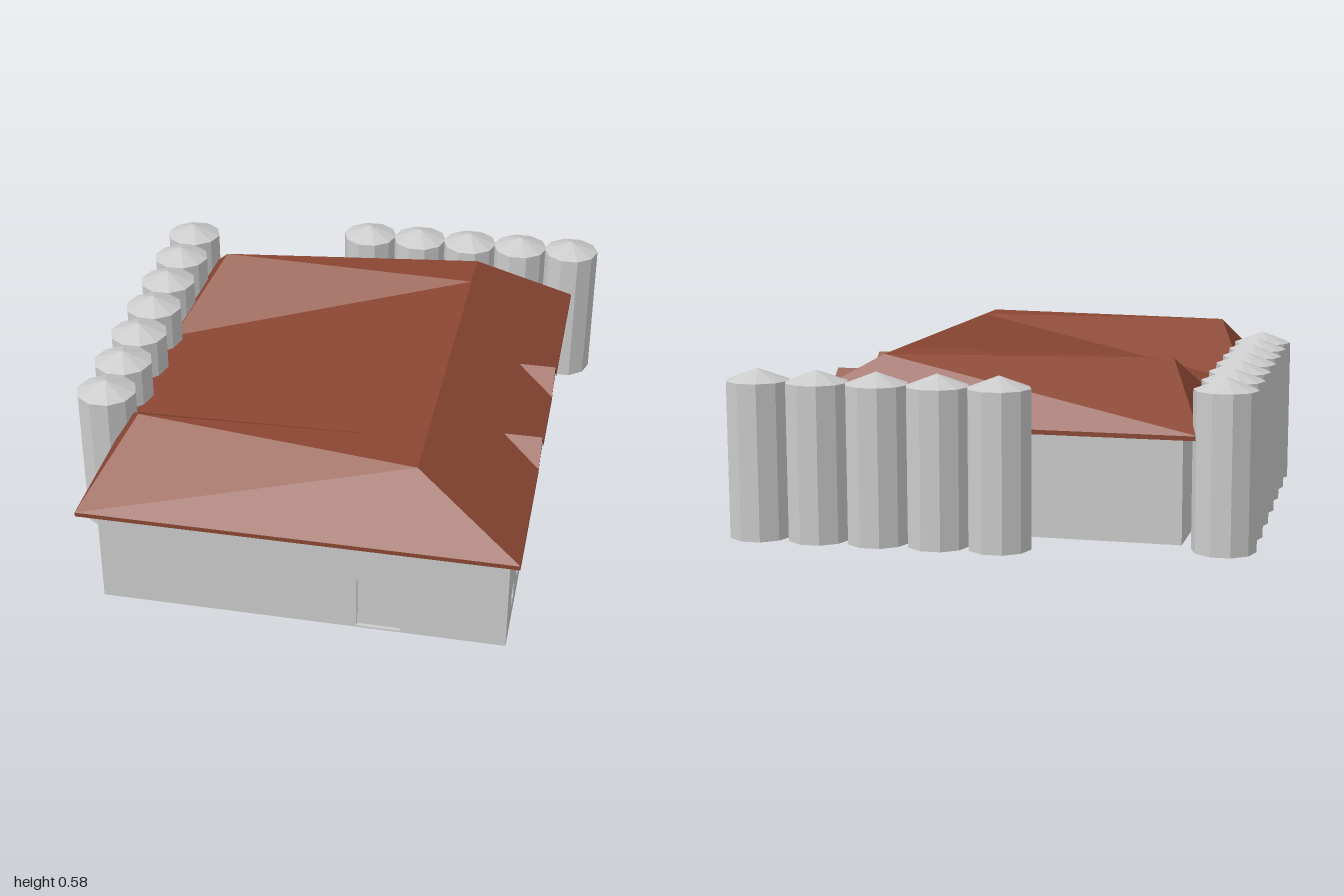
import * as THREE from 'three';

const grey = new THREE.MeshStandardMaterial({ color: 0xcccccc, side: THREE.DoubleSide, flatShading: true });
const tile = new THREE.MeshStandardMaterial({ color: 0x8a4632, side: THREE.DoubleSide, flatShading: true });

const EAVE = 0.375, RIDGE = 0.58, BASE = 0.01;
const HX = 0.73, HZ = 0.9;            // half size of the roof at the eaves
const RX = 0.37, RZ = 0.72;           // ends of the main ridge
const DORMERS = [0.27, -0.2], DW = 0.085, DY = 0.45;

function add(parent, name, geometry, material) {
  const mesh = new THREE.Mesh(geometry, material);
  mesh.name = name;
  parent.add(mesh);
  return mesh;
}

// Each face is a list of corners, counter-clockwise from outside
function facets(faces) {
  const pos = [];
  for (const f of faces)
    for (let i = 1; i < f.length - 1; i++) pos.push(...f[0], ...f[i], ...f[i + 1]);
  const g = new THREE.BufferGeometry();
  g.setAttribute('position', new THREE.Float32BufferAttribute(pos, 3));
  g.computeVertexNormals();
  return g;
}

// Wall panel with openings [u, y, width, height] and optional small gables
function makeWall(name, length, openings, gables = []) {
  const wall = new THREE.Group();
  wall.name = name;
  const h = length / 2, top = 0.372, t = 0.015;
  const s = new THREE.Shape();
  s.moveTo(-h, BASE).lineTo(h, BASE).lineTo(h, top);
  for (const u of [...gables].sort((a, b) => b - a))
    s.lineTo(u + DW - 0.005, top).lineTo(u, DY - 0.008).lineTo(u - DW + 0.005, top);
  s.lineTo(-h, top);
  for (const [u, y, w, ht] of openings) {
    const p = new THREE.Path();
    p.moveTo(u - w / 2, y - ht / 2).lineTo(u - w / 2, y + ht / 2)
      .lineTo(u + w / 2, y + ht / 2).lineTo(u + w / 2, y - ht / 2).closePath();
    s.holes.push(p);
    const pane = add(wall, w > 0.1 ? 'door' : 'windowPane', new THREE.PlaneGeometry(w, ht), grey);
    pane.position.set(u, y, 0.001);
  }
  const panel = new THREE.ExtrudeGeometry(s, { depth: t, bevelEnabled: false });
  add(wall, 'wallPanel', panel, grey);
  return wall;
}

function makeWalls() {
  const walls = new THREE.Group();
  walls.name = 'walls';
  const hx = 0.6825, hz = 0.855, t = 0.015, W = 0.065;
  const lower = [0.695, 0.54, 0.29, -0.23, -0.46, -0.705];
  const upper = [0.695, 0.53, 0.29, 0.035, -0.23, -0.705];
  const windows = [...lower.map(z => [-z, 0.108, W, W]), ...upper.map(z => [-z, 0.275, W, W])];
  const place = (wall, x, z, turn) => {
    wall.position.set(x, 0, z);
    wall.rotation.y = turn;
    walls.add(wall);
  };
  place(makeWall('frontWall', 2 * hx, [[0.26, 0.11, 0.145, 0.188]]), 0, hz - t, 0);
  place(makeWall('backWall', 2 * hx, []), 0, t - hz, Math.PI);
  place(makeWall('leftWall', 2 * hz, windows, DORMERS.map(z => -z)), hx - t, 0, Math.PI / 2);
  place(makeWall('rightWall', 2 * hz, [[0.7, 0.11, 0.145, 0.188]]), t - hx, 0, -Math.PI / 2);
  walls.position.x = 0.0125;
  return walls;
}

function makeRoof() {
  const roof = new THREE.Group();
  roof.name = 'roof';

  // Hipped wings, mirrored front to back
  const wing = [];
  for (const m of [1, -1]) {
    const corner = [-HX, EAVE, m * HZ], far = [HX, EAVE, m * HZ];
    const hip = [-0.595, RIDGE, m * 0.59], apex = [RX, RIDGE, m * RZ];
    const base = [-HX, EAVE, m * 0.275], valley = [RX, RIDGE, m * 0.55];
    const faces = [
      [corner, far, apex], [corner, apex, hip],   // outer slope
      [corner, hip, base],                        // hip end
      [hip, apex, valley], [hip, valley, base],   // inner slope
    ];
    wing.push(...faces.map(f => (m > 0 ? f : [...f].reverse())));
  }
  // Slope between the wings
  wing.push([[-HX, EAVE, -0.275], [-HX, EAVE, 0.275], [RX, RIDGE, 0.55], [RX, RIDGE, -0.55]]);
  add(roof, 'wingSlopes', facets(wing), tile);

  // Long slope with notches for the dormers: drawn as (-z, t), then laid on the pitch
  const notch = (DY - EAVE) / (RIDGE - EAVE);
  const s = new THREE.Shape();
  s.moveTo(-HZ, 0);
  for (const z of DORMERS) s.lineTo(-z - DW, 0).lineTo(-z, notch).lineTo(-z + DW, 0);
  s.lineTo(HZ, 0).lineTo(RZ, 1).lineTo(-RZ, 1);
  const slope = new THREE.ShapeGeometry(s);
  const p = slope.attributes.position;
  for (let i = 0; i < p.count; i++) {
    const u = p.getX(i), t = p.getY(i);
    p.setXYZ(i, HX - (HX - RX) * t, EAVE + (RIDGE - EAVE) * t, -u);
  }
  slope.computeVertexNormals();
  add(roof, 'longSlope', slope, tile);

  // Dormer roofs
  const nx = HX - (HX - RX) * notch;
  for (const z of DORMERS) {
    const f = [HX, DY, z], n = [nx, DY, z];
    add(roof, 'dormerRoof', facets([
      [f, n, [HX, EAVE, z + DW]],
      [n, f, [HX, EAVE, z - DW]],
    ]), tile);
  }

  // Fascia following the eaves and the dormer gables
  const line = [[-HX, EAVE, -HZ], [-HX, EAVE, HZ], [HX, EAVE, HZ]];
  for (const z of DORMERS) line.push([HX, EAVE, z + DW], [HX, DY, z], [HX, EAVE, z - DW]);
  line.push([HX, EAVE, -HZ], line[0]);
  const drop = ([x, y, z]) => [x, y - 0.015, z];
  const strips = line.slice(1).map((b, i) => [line[i], drop(line[i]), drop(b), b]);
  add(roof, 'fascia', facets(strips), tile);
  return roof;
}

// Ten-sided tank with a low conical cap
function makeSilo(x, z) {
  const silo = new THREE.Group();
  silo.name = 'silo';
  const r = 0.105;
  add(silo, 'siloBody', new THREE.CylinderGeometry(r, r, 0.52, 10, 1, true), grey).position.y = 0.26;
  add(silo, 'siloCap', new THREE.ConeGeometry(r, 0.04, 10, 1, true), grey).position.y = 0.54;
  silo.position.set(x, 0, z);
  silo.rotation.y = Math.PI / 2;
  return silo;
}

export function createModel() {
  const model = new THREE.Group();
  model.name = 'farmBuilding';

  // The house stands slightly turned against the tanks
  const house = new THREE.Group();
  house.name = 'house';
  house.add(makeWalls(), makeRoof());
  house.position.set(0.0275, 0, 0.085);
  house.rotation.y = -0.02;
  model.add(house);

  for (let i = 0; i < 7; i++) model.add(makeSilo(-0.76, -0.78 + i * 0.204));
  for (let i = 0; i < 5; i++) model.add(makeSilo(-0.053 + i * 0.203, -0.9));
  return model;
}
